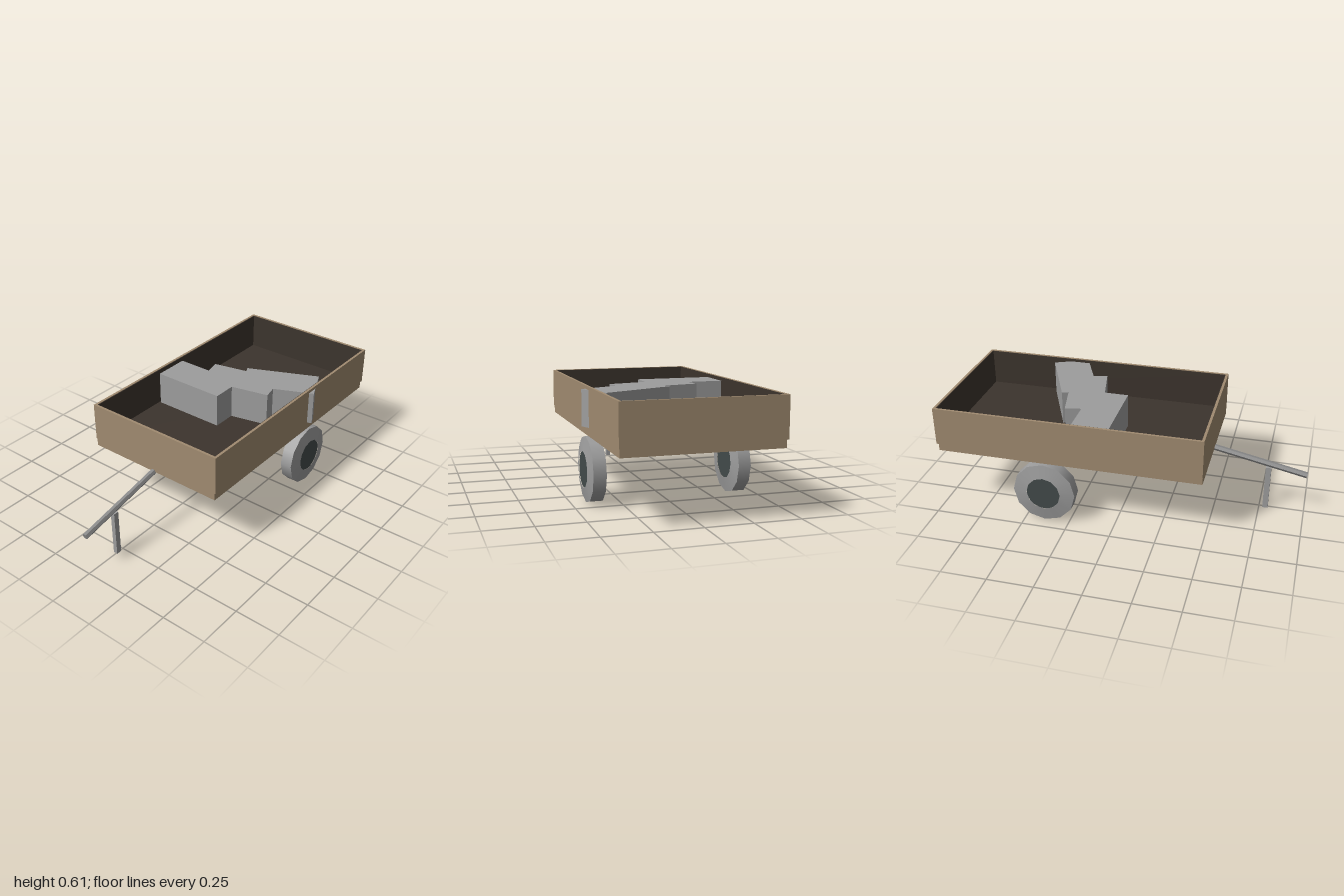
import * as THREE from 'three';

export function createModel() {
  const mat = (name, color, extra = {}) => {
    const m = new THREE.MeshStandardMaterial({ color, ...extra });
    m.name = name;
    return m;
  };
  const wood = mat('tan wood', 0xa08b70);
  const lining = mat('dark lining', 0x3c342d);
  const grey = mat('light grey', 0x9d9d9d);
  const steel = mat('steel', 0x8a8a8a, { flatShading: true });
  const hubMat = mat('dark hub', 0x434b4b);

  const model = new THREE.Group();
  model.name = 'trailer';

  const add = (parent, name, geometry, material, x = 0, y = 0, z = 0) => {
    const mesh = new THREE.Mesh(geometry, material);
    mesh.name = name;
    mesh.position.set(x, y, z);
    parent.add(mesh);
    return mesh;
  };
  // Box given by its two extreme corners
  const block = (parent, name, material, [x0, y0, z0], [x1, y1, z1]) =>
    add(parent, name, new THREE.BoxGeometry(x1 - x0, y1 - y0, z1 - z0), material,
      (x0 + x1) / 2, (y0 + y1) / 2, (z0 + z1) / 2);

  // Cargo bed: floor slab, four walls and a thin dark lining
  const bed = new THREE.Group();
  bed.name = 'bed';
  model.add(bed);
  const L = -0.42, R = 0.412, B = -1, F = 0.48, low = 0.392, top = 0.607, t = 0.014, s = 0.004;
  block(bed, 'floor', wood, [-0.414, 0.35, -0.99], [0.407, low, F]);
  block(bed, 'rightWall', wood, [L, low, B], [L + t, top, F]);
  block(bed, 'leftWall', wood, [R - t, low, B], [R, top, F]);
  block(bed, 'backWall', wood, [L + t, low, B], [R - t, top, B + t]);
  block(bed, 'frontWall', wood, [L + t, low, F - t], [R - t, top, F]);

  const l = L + t, r = R - t, b = B + t, f = F - t, h = top - 0.002;
  block(bed, 'floorLining', lining, [l, low, b], [r, low + s, f]);
  block(bed, 'rightLining', lining, [l, low, b], [l + s, h, f]);
  block(bed, 'leftLining', lining, [r - s, low, b], [r, h, f]);
  block(bed, 'backLining', lining, [l, low, b], [r, h, b + s]);
  block(bed, 'frontLining', lining, [l, low, f - s], [r, h, f]);

  // Cargo: three blocks, each turned a little further
  [[-0.18, -0.13, 0], [0.016, -0.264, 12], [0.203, -0.388, 24]].forEach(([x, z, deg]) => {
    const cargo = add(model, 'cargoBlock', new THREE.BoxGeometry(0.42, 0.192, 0.205), grey, x, 0.494, z);
    cargo.rotation.y = THREE.MathUtils.degToRad(deg);
  });

  // Wheels: smooth tread, two shallow conical sidewalls and a hub
  const radius = 0.174, hubRadius = 0.095, tread = 0.034, half = 0.048;
  const treadGeo = new THREE.CylinderGeometry(radius, radius, tread * 2, 12, 1, true);
  const sideGeo = new THREE.CylinderGeometry(hubRadius, radius, half - tread, 12, 1, true);
  const hubGeo = new THREE.CylinderGeometry(hubRadius, hubRadius, half * 2 - 0.006, 20);
  [[-0.395, 'rightWheel'], [0.386, 'leftWheel']].forEach(([x, name]) => {
    const wheel = new THREE.Group();
    wheel.name = name;
    wheel.position.set(x, 0.175, -0.386);
    wheel.rotation.z = Math.PI / 2;
    add(wheel, 'tread', treadGeo, grey);
    add(wheel, 'sidewall', sideGeo, grey, 0, (half + tread) / 2);
    add(wheel, 'sidewall', sideGeo, grey, 0, -(half + tread) / 2).rotation.x = Math.PI;
    add(wheel, 'hub', hubGeo, hubMat);
    model.add(wheel);
  });

  // Sloping hexagonal drawbar
  const start = new THREE.Vector3(-0.005, 0.348, 0.478);
  const end = new THREE.Vector3(-0.005, 0.24, 0.997);
  const dir = end.clone().sub(start);
  const drawbar = add(model, 'drawbar', new THREE.CylinderGeometry(0.017, 0.017, dir.length(), 6), steel);
  drawbar.position.copy(start).add(end).multiplyScalar(0.5);
  drawbar.quaternion.setFromUnitVectors(new THREE.Vector3(0, 1, 0), dir.normalize());
  drawbar.rotateY(Math.PI / 2);

  // Support leg under the drawbar
  block(model, 'supportLeg', grey, [-0.017, 0, 0.77], [0.007, 0.262, 0.8]);

  return model;
}
